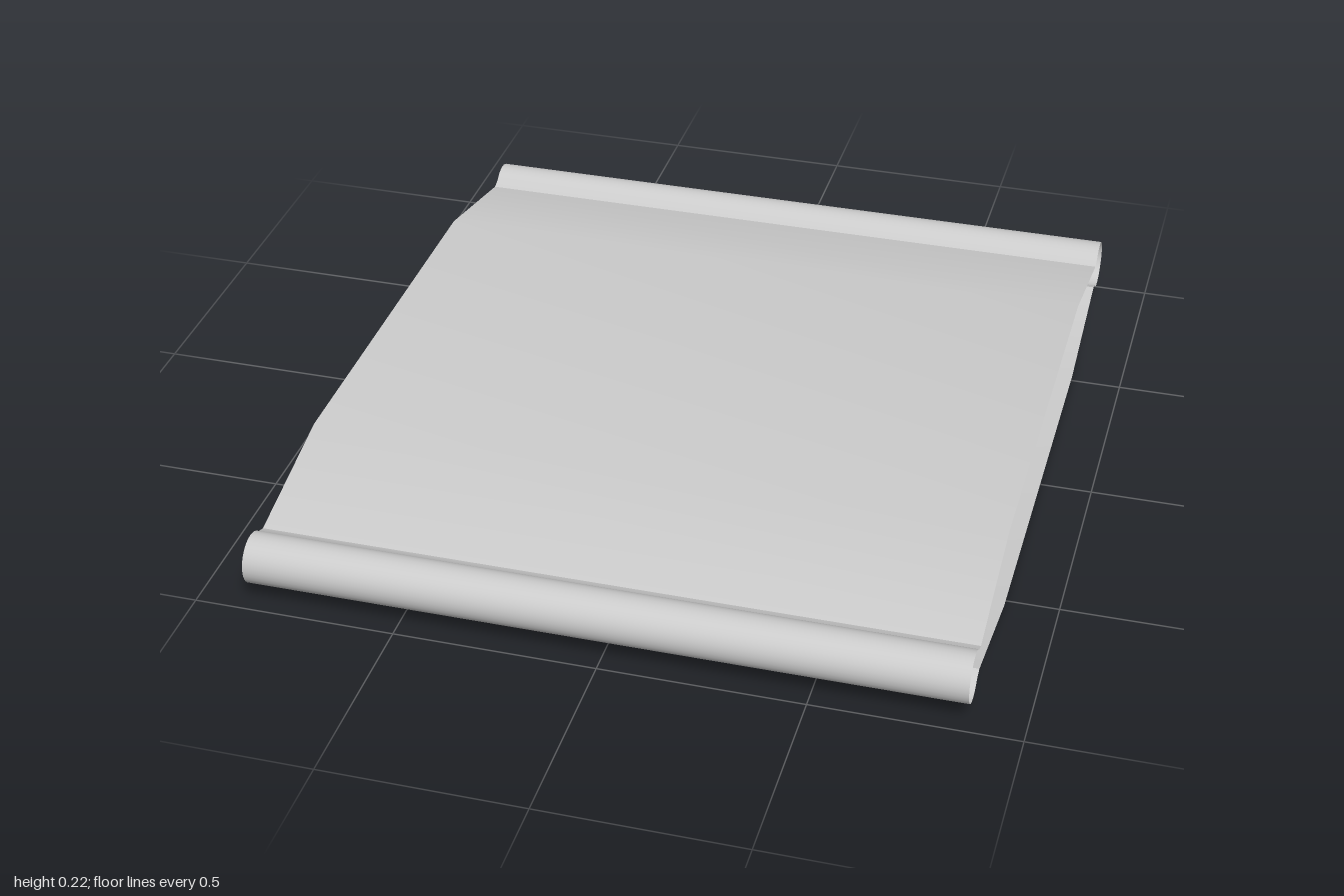
import * as THREE from 'three';

const HALF_WIDTH = 0.87;
const HEIGHT = 0.22;

const material = new THREE.MeshStandardMaterial({ color: 0xcccccc, side: THREE.DoubleSide });

// Thin strip across the full width, following a [z, y] profile with smooth normals
function strip(profile) {
  const positions = [], indices = [];
  profile.forEach(([z, y], i) => {
    positions.push(-HALF_WIDTH, y, z, HALF_WIDTH, y, z);
    if (i > 0) {
      const a = 2 * i - 2;
      indices.push(a, a + 1, a + 2, a + 1, a + 3, a + 2);
    }
  });
  const geometry = new THREE.BufferGeometry();
  geometry.setAttribute('position', new THREE.Float32BufferAttribute(positions, 3));
  geometry.setIndex(indices);
  geometry.computeVertexNormals();
  return geometry;
}

export function createModel() {
  const model = new THREE.Group();
  model.name = 'rolledEdgePanel';

  // Upper sheet: flat middle sloping down to a joint at each roll
  const joint = [0.866, 0.143];
  const sheet = strip([joint, [0.52, HEIGHT], [-0.52, HEIGHT], [-joint[0], joint[1]]]);

  // Roll: open tube with a slot facing inwards, ending at the two joints
  const radius = 0.0625, centre = 1 - radius, steps = 24;
  const sweep = THREE.MathUtils.degToRad(138);
  const arc = [[joint[0], HEIGHT - joint[1]]];
  for (let i = 0; i <= steps; i++) {
    const angle = sweep * (2 * i / steps - 1);
    arc.push([centre + radius * Math.cos(angle), HEIGHT / 2 + radius * Math.sin(angle)]);
  }
  arc.push(joint);
  const roll = strip(arc);

  // The lower sheet and back roll are half-turn copies
  const add = (name, geometry, turned) => {
    const mesh = new THREE.Mesh(geometry, material);
    mesh.name = name;
    if (turned) {
      mesh.rotation.x = Math.PI;
      mesh.position.y = HEIGHT;
    }
    model.add(mesh);
  };
  add('upperSheet', sheet, false);
  add('lowerSheet', sheet, true);
  add('frontRoll', roll, false);
  add('backRoll', roll, true);

  return model;
}
